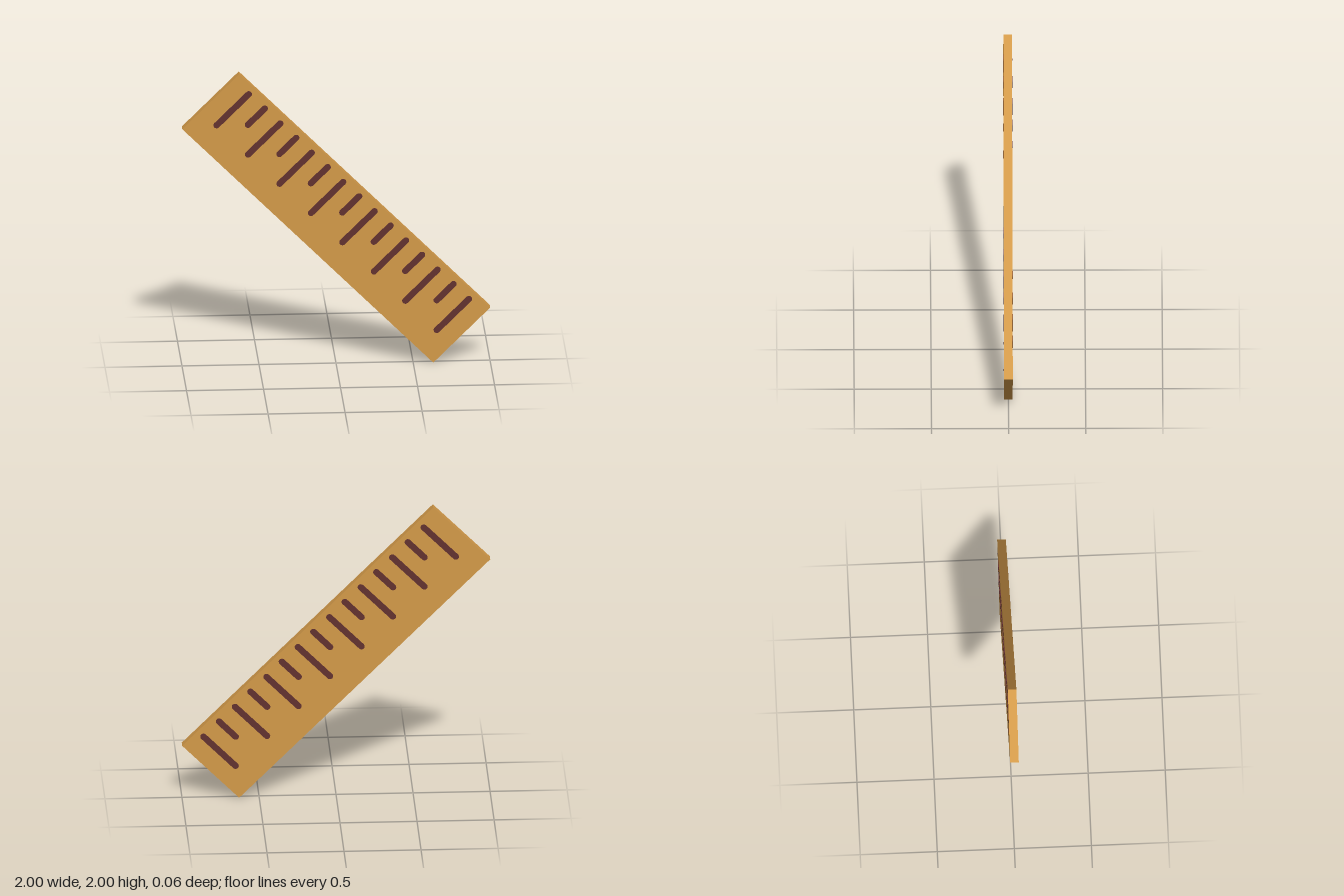
import * as THREE from 'three';

const LENGTH = 2.305, WIDTH = 0.523, DEPTH = 0.056;

// Bar with round ends, running along y and centred on the origin
function tickGeometry(span, radius, depth) {
  const shape = new THREE.Shape();
  shape.absarc(0, span / 2, radius, 0, Math.PI, false);
  shape.absarc(0, -span / 2, radius, Math.PI, Math.PI * 2, false);
  shape.closePath();
  const geometry = new THREE.ExtrudeGeometry(shape, { depth, bevelEnabled: false, curveSegments: 8 });
  return geometry.translate(0, 0, -depth / 2);
}

export function createModel() {
  const wood = new THREE.MeshStandardMaterial({ name: 'wood', color: 0xd39a49 });
  const marking = new THREE.MeshStandardMaterial({ name: 'dark brown marking', color: 0x633230 });

  const model = new THREE.Group();
  model.name = 'ruler';

  // The ruler lies along x here and is tilted as a whole
  const ruler = new THREE.Group();
  ruler.name = 'tiltedRuler';
  ruler.rotation.z = -Math.PI / 4;
  ruler.position.set(0, 1, 0.001);
  model.add(ruler);

  const body = new THREE.Mesh(new THREE.BoxGeometry(LENGTH, WIDTH, DEPTH), wood);
  body.name = 'body';
  ruler.add(body);

  // Inlaid marks run through the body and show on both faces
  const inlay = DEPTH + 0.003;
  const longTick = tickGeometry(0.294, 0.021, inlay);
  const shortTick = tickGeometry(0.153, 0.021, inlay);
  const count = 15, reach = 1.011;
  for (let i = 0; i < count; i++) {
    const isLong = i % 2 === 0;
    const tick = new THREE.Mesh(isLong ? longTick : shortTick, marking);
    tick.name = isLong ? 'longTick' : 'shortTick';
    tick.position.set(-reach + (2 * reach * i) / (count - 1), isLong ? 0.06 : 0.133, 0);
    ruler.add(tick);
  }

  return model;
}
